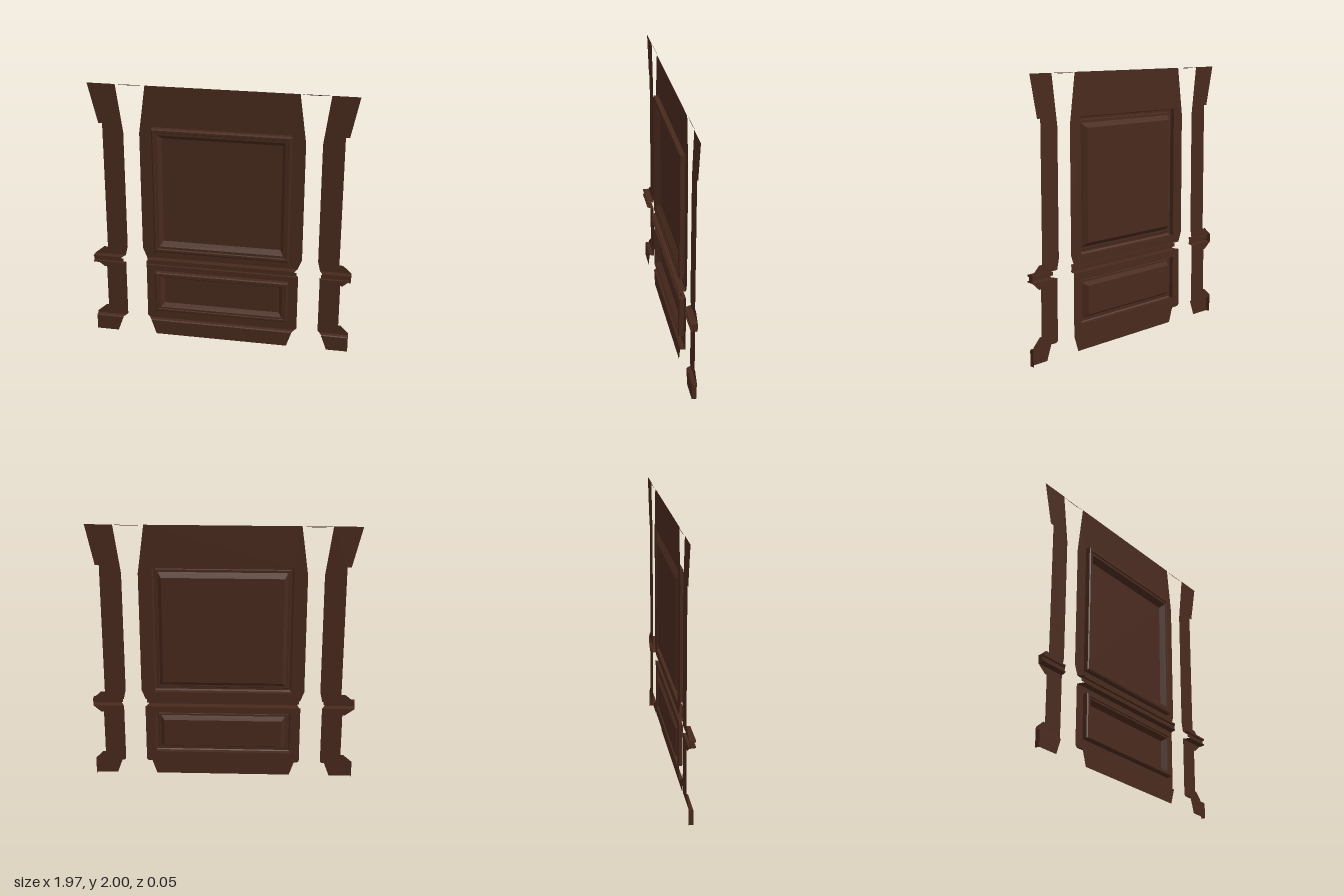
import * as THREE from 'three';

const WALL = -0.022, FLOOR = -0.028, MID = 0.005, TIP = 0.985;

const wood = new THREE.MeshStandardMaterial({ color: 0x48291c, side: THREE.DoubleSide, flatShading: true });

function add(group, name, geometry) {
  const mesh = new THREE.Mesh(geometry, wood);
  mesh.name = name;
  group.add(mesh);
  return mesh;
}

// flat sheet from an outline, with optional rectangular openings
function sheet(points, z, openings = []) {
  const shape = new THREE.Shape(points.map(([x, y]) => new THREE.Vector2(x, y)));
  for (const o of openings) {
    const hole = new THREE.Path();
    hole.moveTo(o.x - o.w, o.y - o.h);
    hole.lineTo(o.x - o.w, o.y + o.h);
    hole.lineTo(o.x + o.w, o.y + o.h);
    hole.lineTo(o.x + o.w, o.y - o.h);
    hole.closePath();
    shape.holes.push(hole);
  }
  return new THREE.ShapeGeometry(shape).translate(0, 0, z);
}

// quads between consecutive loops of points
function loft(loops, closed) {
  const pos = [], idx = [], n = loops[0].length;
  loops.forEach(l => l.forEach(p => pos.push(...p)));
  for (let i = 0; i < loops.length - 1; i++) {
    for (let j = 0; j < (closed ? n : n - 1); j++) {
      const a = i * n + j, b = i * n + (j + 1) % n;
      idx.push(a, b, b + n, a, b + n, a + n);
    }
  }
  const g = new THREE.BufferGeometry();
  g.setAttribute('position', new THREE.Float32BufferAttribute(pos, 3));
  g.setIndex(idx);
  const flat = g.toNonIndexed();
  flat.computeVertexNormals();
  return flat;
}

// profiles run top to bottom: y, z, inner half width of centre, inner edge of side
const RAIL = [
  [0.645, WALL, 0.58, 0.747], [0.645, 0.026, 0.563, 0.768], [0.632, 0.026, 0.563, 0.768],
  [0.630, 0.011, 0.575, 0.758], [0.603, 0.011, 0.575, 0.758], [0.600, 0.026, 0.563, 0.768],
  [0.590, 0.026, 0.563, 0.768], [0.587, WALL, 0.58, 0.747],
];
const SKIRT = [
  [0.125, WALL, 0.57, 0.76], [0.122, 0.006, 0.555, 0.775], [0.115, 0.012, 0.55, 0.778],
  [0, 0.012, 0.512, 0.82],
];

// raised frame with sloped inner edge around a sunk panel
const FRAME = [[0, WALL], [0, 0.012], [0.13, 0.018], [0.32, 0.018], [0.38, 0.011], [0.6, 0.011], [1, FLOOR]];
function framedPanel(group, name, o) {
  const rings = FRAME.map(([t, z]) => {
    const w = o.w - t * o.dx, h = o.h - t * o.dy;
    return [[-w, -h], [w, -h], [w, h], [-w, h]].map(([x, y]) => [o.x + x, o.y + y, z]);
  });
  add(group, name + 'Frame', loft(rings, true));
  const panel = new THREE.PlaneGeometry(2 * (o.w - o.dx), 2 * (o.h - o.dy));
  add(group, name + 'Panel', panel.translate(o.x, o.y, FLOOR));
}

function createCentre() {
  const g = new THREE.Group();
  g.name = 'centreSection';
  const upper = { x: MID, y: 1.2, w: 0.512, h: 0.492, dx: 0.067, dy: 0.082 };
  const lower = { x: MID, y: 0.37, w: 0.512, h: 0.165, dx: 0.067, dy: 0.058 };
  // symmetrical outline from its right half
  const both = half => [
    ...half.map(([x, y]) => [MID + x, y]),
    ...half.slice().reverse().map(([x, y]) => [MID - x, y]),
  ];
  add(g, 'upperWall', sheet(both([[0.56, 2], [0.61, 1.64], [0.61, 0.72], [0.58, 0.645]]), WALL, [upper]));
  add(g, 'lowerWall', sheet(both([[0.585, 0.587], [0.585, 0.14], [0.57, 0.125]]), WALL, [lower]));
  framedPanel(g, 'upper', upper);
  framedPanel(g, 'lower', lower);
  const run = rows => loft(rows.map(([y, z, w]) => [[MID - w, y, z], [MID + w, y, z]]), false);
  add(g, 'chairRail', run(RAIL));
  add(g, 'skirting', run(SKIRT));
  return g;
}

function createSide(s) {
  const g = new THREE.Group();
  g.name = s > 0 ? 'leftSection' : 'rightSection';
  const X = a => (a >= TIP ? s * a : MID + s * a);
  const outline = pts => pts.map(([x, y]) => [X(x), y]);
  add(g, 'upperWall', sheet(outline([
    [0.78, 2], [TIP, 2], [0.917, 1.7], [0.888, 1.7], [0.888, 0.705], [0.917, 0.705],
    [TIP, 0.645], [0.747, 0.645], [0.73, 0.72], [0.73, 1.64],
  ]), WALL));
  add(g, 'lowerWall', sheet(outline([
    [0.747, 0.587], [TIP, 0.587], [0.92, 0.535], [0.902, 0.535], [0.902, 0.2], [0.92, 0.2],
    [TIP, 0.14], [TIP, 0.125], [0.76, 0.125], [0.747, 0.14],
  ]), WALL));
  // mouldings, each with a flat end at the outer tip
  for (const [name, rows] of [['chairRail', RAIL], ['skirting', SKIRT]]) {
    add(g, name, loft(rows.map(([y, z, , a]) => [[X(a), y, z], [X(TIP), y, z]]), false));
    const profile = rows.map(([y, z]) => [-z, y]);
    if (name === 'skirting') profile.push([-WALL, 0]);
    add(g, name + 'End', sheet(profile, 0).rotateY(Math.PI / 2).translate(s * TIP, 0, 0));
  }
  // thin sagging strip joining the top edges
  add(g, 'topStrip', sheet(outline([[0.56, 2], [0.63, 1.999], [0.71, 1.999], [0.78, 2], [0.71, 1.994], [0.63, 1.994]]), WALL - 0.004));
  return g;
}

export function createModel() {
  const model = new THREE.Group();
  model.name = 'wallPanelling';
  model.add(createCentre(), createSide(1), createSide(-1));
  return model;
}
